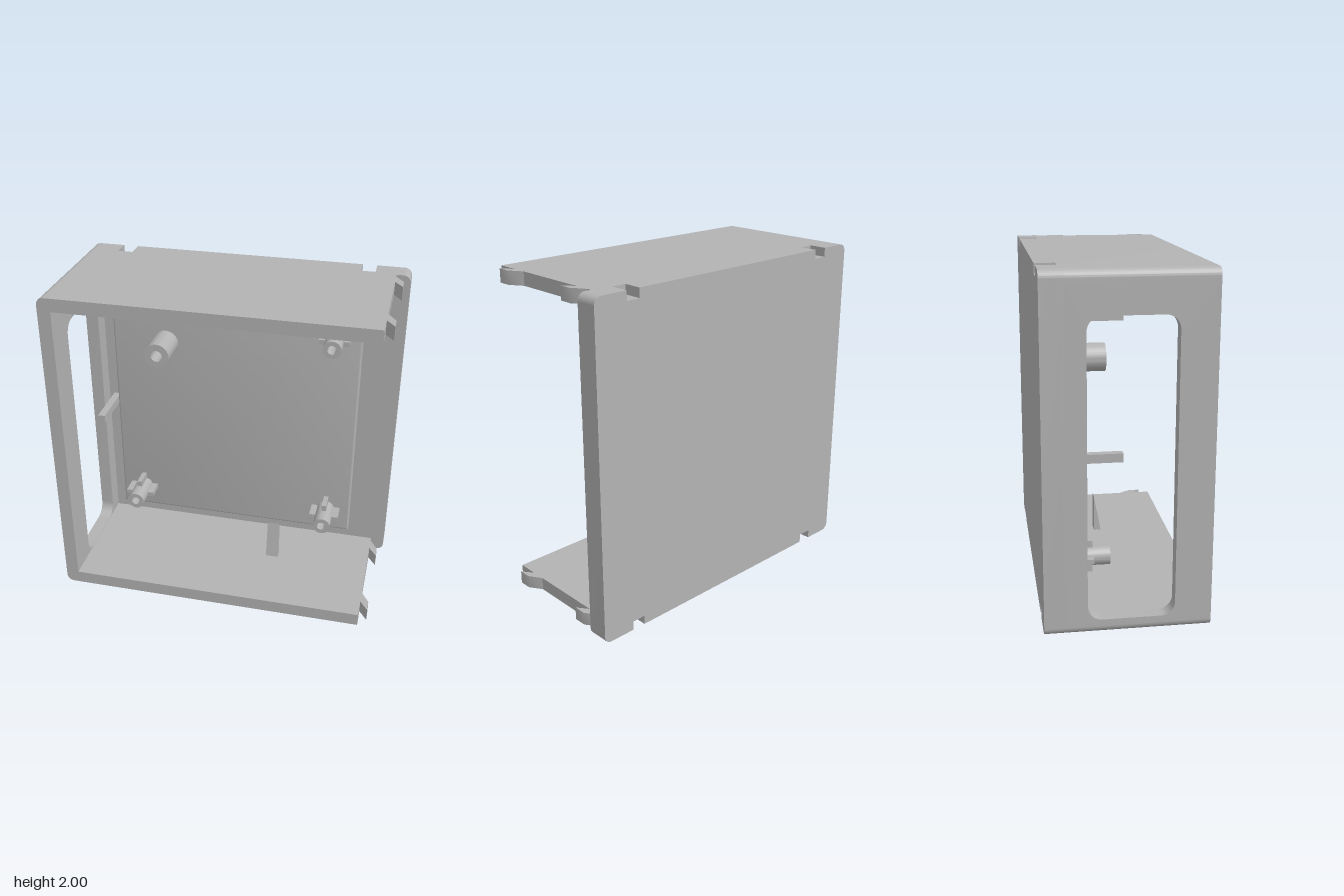
import * as THREE from 'three';
import { toCreasedNormals } from 'three/addons/utils/BufferGeometryUtils.js';

const grey = new THREE.MeshStandardMaterial({ color: 0xb3b3b3 });
grey.name = 'grey plastic';

const BACK = -0.465, FRONT = 0.465, INNER = -0.335, PANEL = -0.275;
const WALL = 0.08, R = 0.045;

const polygon = (pts) => new THREE.Shape(pts.map(([a, b]) => new THREE.Vector2(a, b)));

function roundedRect(path, x0, y0, x1, y1, r) {
  path.moveTo(x0 + r, y0);
  path.lineTo(x1 - r, y0);
  path.absarc(x1 - r, y0 + r, r, -Math.PI / 2, 0);
  path.lineTo(x1, y1 - r);
  path.absarc(x1 - r, y1 - r, r, 0, Math.PI / 2);
  path.lineTo(x0 + r, y1);
  path.absarc(x0 + r, y1 - r, r, Math.PI / 2, Math.PI);
  path.lineTo(x0, y0 + r);
  path.absarc(x0 + r, y0 + r, r, Math.PI, Math.PI * 1.5);
  return path;
}

const extrude = (shape, depth, options = {}) =>
  new THREE.ExtrudeGeometry(shape, { depth, bevelEnabled: false, curveSegments: 10, ...options });

export function createModel() {
  const model = new THREE.Group();
  model.name = 'enclosure';

  function add(name, geometry, parent = model) {
    const mesh = new THREE.Mesh(toCreasedNormals(geometry, 0.6), grey);
    mesh.name = name;
    parent.add(mesh);
    return mesh;
  }
  // Extrusion helpers: along z from an xy shape, along x from [z, y], along y from [x, z]
  const alongZ = (name, shape, z0, z1, parent) =>
    add(name, extrude(shape, z1 - z0).translate(0, 0, z0), parent);
  const alongX = (name, pts, x0, x1) =>
    add(name, extrude(polygon(pts.map(([z, y]) => [-z, y])), x1 - x0).rotateY(Math.PI / 2).translate(x0, 0, 0));
  const alongY = (name, pts, y0, y1) =>
    add(name, extrude(polygon(pts.map(([x, z]) => [x, -z])), y1 - y0).rotateX(-Math.PI / 2).translate(0, y0, 0));
  const box = (name, x0, x1, y0, y1, z0, z1, parent) =>
    add(name, new THREE.BoxGeometry(x1 - x0, y1 - y0, z1 - z0)
      .translate((x0 + x1) / 2, (y0 + y1) / 2, (z0 + z1) / 2), parent);

  // Back plate: notched outer layer plus a plain inner layer
  const notches = [[-0.8, -0.71], [0.705, 0.79]], notchDepth = 0.055, notchEnd = -0.355;
  const outline = new THREE.Shape();
  outline.moveTo(-1 + R, 0);
  for (const [a, b] of notches) {
    outline.lineTo(a, 0); outline.lineTo(a, notchDepth);
    outline.lineTo(b, notchDepth); outline.lineTo(b, 0);
  }
  outline.lineTo(1 - R, 0);
  outline.absarc(1 - R, R, R, -Math.PI / 2, 0);
  outline.lineTo(1, 2 - R);
  outline.absarc(1 - R, 2 - R, R, 0, Math.PI / 2);
  for (const [a, b] of [...notches].reverse()) {
    outline.lineTo(b, 2); outline.lineTo(b, 2 - notchDepth);
    outline.lineTo(a, 2 - notchDepth); outline.lineTo(a, 2);
  }
  outline.lineTo(-1 + R, 2);
  outline.absarc(-1 + R, 2 - R, R, Math.PI / 2, Math.PI);
  outline.lineTo(-1, R);
  outline.absarc(-1 + R, R, R, Math.PI, Math.PI * 1.5);
  alongZ('backPlateOuter', outline, BACK, notchEnd);
  alongZ('backPlateInner', roundedRect(new THREE.Shape(), -1, 0, 1, 2, R), notchEnd, INNER);

  // Floor and roof, each rounded at the closed side
  const floor = new THREE.Shape();
  floor.moveTo(-1 + R, 0);
  floor.lineTo(0.915, 0);
  floor.lineTo(0.915, WALL);
  floor.lineTo(-1, WALL);
  floor.lineTo(-1, R);
  floor.absarc(-1 + R, R, R, Math.PI, Math.PI * 1.5);
  alongZ('floorWall', floor, INNER, FRONT);
  const roof = new THREE.Shape();
  roof.moveTo(-1, 2 - WALL);
  roof.lineTo(0.915, 2 - WALL);
  roof.lineTo(0.915, 2);
  roof.lineTo(-1 + R, 2);
  roof.absarc(-1 + R, 2 - R, R, Math.PI / 2, Math.PI);
  alongZ('roofWall', roof, INNER, FRONT);

  // Side wall with its large rounded window
  const side = polygon([[-FRONT, WALL], [-INNER, WALL], [-INNER, 2 - WALL], [-FRONT, 2 - WALL]]);
  side.holes.push(roundedRect(new THREE.Path(), -0.26, WALL + 0.003, 0.225, 1.765, 0.08));
  add('windowWall', extrude(side, WALL).rotateY(Math.PI / 2).translate(-1, 0, 0));

  // Slanted hooks on the open edges of floor and roof
  for (const y of [0, 2 - WALL]) {
    for (const z of [-0.307, 0.249]) {
      alongY('edgeHook', [[0.915, z], [0.915, z + 0.087], [0.965, z + 0.157], [0.965, z + 0.08]], y, y + WALL);
    }
  }

  // Raised inner panel with softened front edges
  const b = 0.015;
  const panel = polygon([[-0.84 + b, 0.165 + b], [0.755 - b, 0.165 + b], [0.755 - b, 1.763 - b], [-0.84 + b, 1.763 - b]]);
  add('innerPanel', extrude(panel, PANEL - INNER, {
    bevelEnabled: true, bevelSize: b, bevelThickness: b, bevelSegments: 3,
  }).translate(0, 0, INNER - b));

  // Hollow screw posts, three of them ribbed
  function post(name, x, y, radius, bore, top, ribbed) {
    const group = new THREE.Group();
    group.name = name;
    group.position.set(x, y, 0);
    model.add(group);
    const ring = new THREE.Shape().absarc(0, 0, radius, 0, Math.PI * 2);
    ring.holes.push(new THREE.Path().absarc(0, 0, bore, 0, Math.PI * 2));
    const tube = extrude(ring, top - PANEL, { curveSegments: 32 }).translate(0, 0, PANEL);
    add('postTube', tube, group);
    for (let i = 0; ribbed && i < 4; i++) {
      const rib = box('postRib', radius - 0.012, 0.095, -0.015, 0.015, PANEL, -0.16, group);
      rib.rotation.z = i * Math.PI / 2;
    }
  }
  for (const [x, y] of [[0.595, 1.605], [0.595, 0.325], [-0.685, 0.325]]) {
    post('ribbedPost', x, y, 0.056, 0.028, -0.062, true);
  }
  post('plainPost', -0.49, 1.445, 0.08, 0.037, -0.062, false);

  // Board locators: a peg and an L-shaped corner
  box('sidePeg', -0.888, -0.843, 0.95, 1.0, INNER, -0.015);
  alongZ('cornerLocator', polygon([
    [-0.86, 1.715], [-0.84, 1.715], [-0.84, 1.763], [-0.765, 1.763], [-0.765, 1.81], [-0.86, 1.81],
  ]), INNER, -0.015);

  // Snap catches hanging from the roof and rising from the floor
  alongX('roofCatch', [[0.015, 2 - WALL], [0.015, 1.765], [-0.03, 1.69], [-0.03, 2 - WALL]], 0.402, 0.485);
  alongX('floorCatch', [[0.015, WALL], [-0.03, WALL], [-0.03, 0.32]], 0.245, 0.325);

  return model;
}
